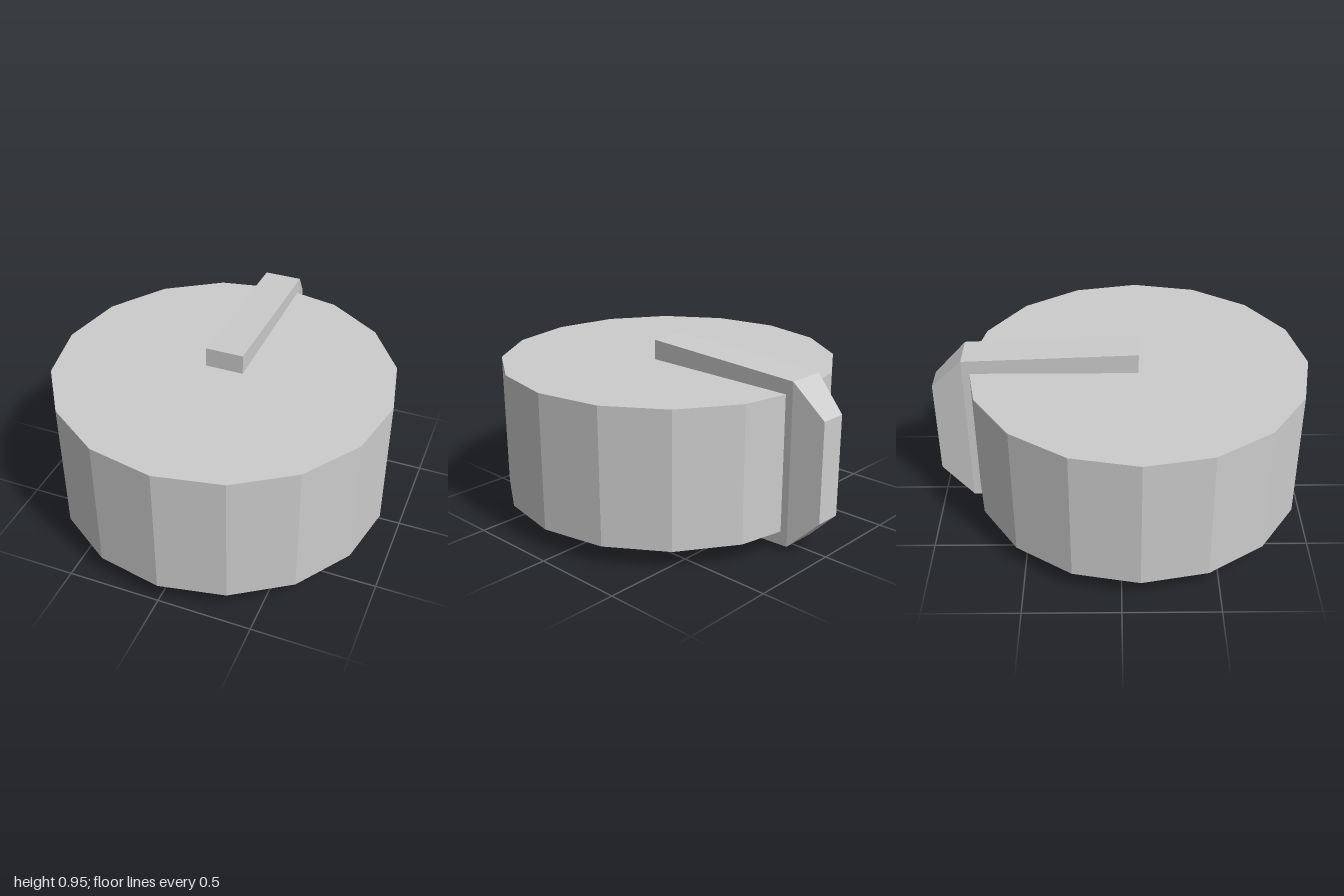
import * as THREE from 'three';
import { ConvexGeometry } from 'three/addons/geometries/ConvexGeometry.js';

export function createModel() {
  const group = new THREE.Group();
  const grey = new THREE.MeshStandardMaterial({ color: 0xcccccc, flatShading: true });
  grey.name = 'plain grey';

  const hubZ = 0.095;
  const midY = 0.473;

  // Faceted wheel lying flat, with a corner pointing to the front
  const wheel = new THREE.Mesh(new THREE.CylinderGeometry(0.905, 0.905, 0.73, 16), grey);
  wheel.name = 'wheel';
  wheel.position.set(0, midY, hubZ);
  group.add(wheel);

  // Bracket wrapping the wheel from hub to hub, chamfered and narrowed at the back
  // Each section: z, half height, half width
  const sections = [
    [hubZ, 0.473, 0.103],
    [-0.83, 0.438, 0.103],
    [-1, 0.268, 0.072],
  ];
  const corners = [];
  for (const [z, h, w] of sections) {
    for (const sx of [-1, 1]) {
      for (const sy of [-1, 1]) corners.push(new THREE.Vector3(sx * w, sy * h, z));
    }
  }
  const bracket = new THREE.Mesh(new ConvexGeometry(corners), grey);
  bracket.name = 'bracket';
  bracket.position.y = midY;
  group.add(bracket);

  return group;
}
